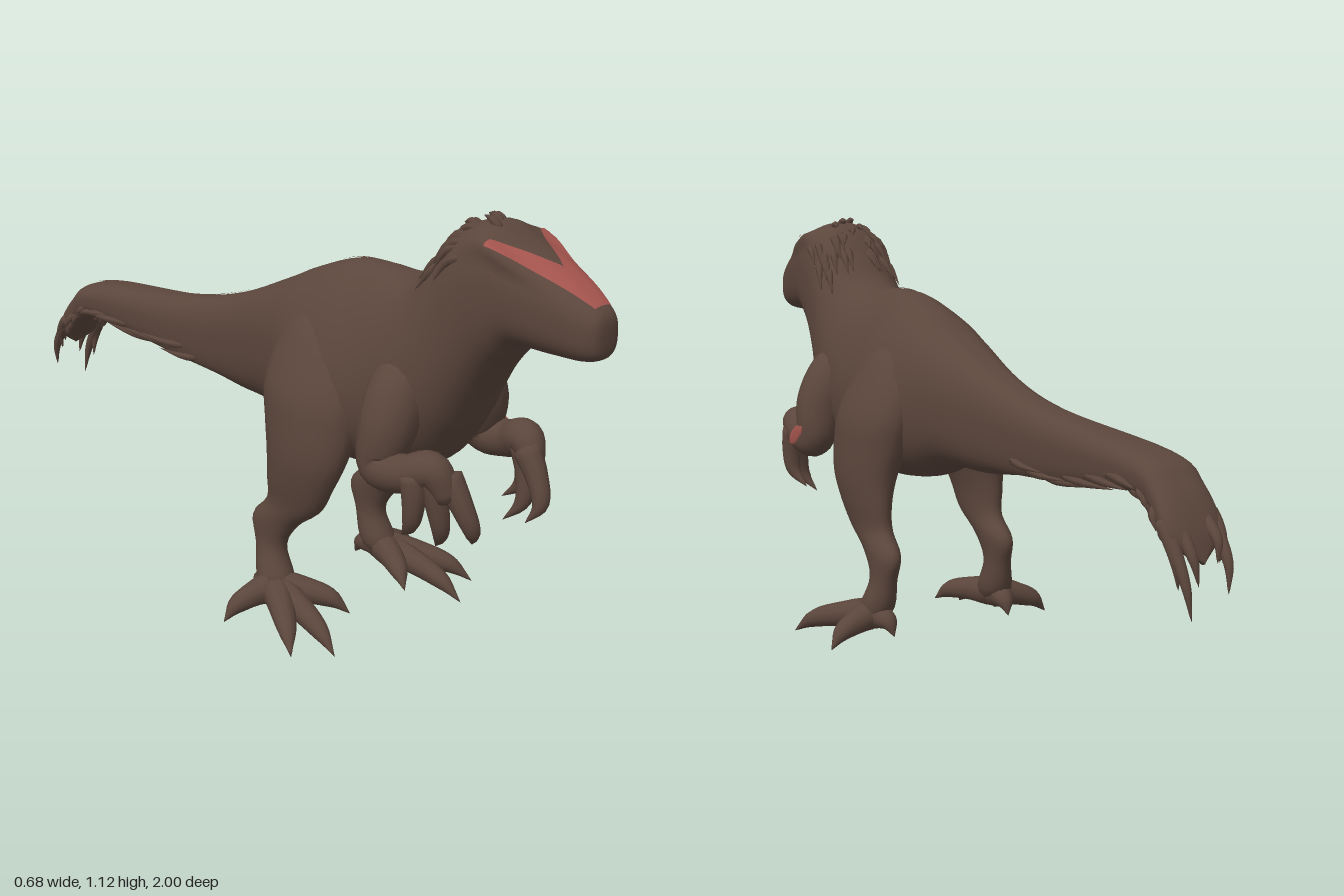
import * as THREE from 'three';
import { mergeVertices } from 'three/addons/utils/BufferGeometryUtils.js';

const hide = new THREE.MeshStandardMaterial({ color: 0x5b463c });
const mask = new THREE.MeshStandardMaterial({ color: 0xa3544d });
hide.name = 'brown hide';
mask.name = 'red markings';

// Body sections, snout to tail: topZ, topY, bottomZ, bottomY, half width
const BODY = [
  [1, 0.9, 1, 0.89, 0], [0.993, 0.945, 0.993, 0.85, 0.04], [0.95, 0.98, 0.955, 0.836, 0.063],
  [0.88, 1.02, 0.88, 0.836, 0.083], [0.78, 1.065, 0.79, 0.836, 0.105], [0.7, 1.105, 0.75, 0.8, 0.116],
  [0.62, 1.085, 0.705, 0.745, 0.125], [0.56, 1.02, 0.66, 0.67, 0.135], [0.5, 0.96, 0.61, 0.58, 0.15],
  [0.43, 0.94, 0.54, 0.495, 0.162], [0.34, 0.946, 0.42, 0.45, 0.165], [0.24, 0.94, 0.28, 0.44, 0.175],
  [0.12, 0.9, 0.13, 0.46, 0.155], [0.02, 0.855, 0, 0.51, 0.12], [-0.18, 0.775, -0.18, 0.52, 0.08],
  [-0.4, 0.725, -0.4, 0.535, 0.068], [-0.79, 0.692, -0.78, 0.59, 0.073], [-0.89, 0.64, -0.86, 0.57, 0.074],
  [-0.95, 0.55, -0.92, 0.51, 0.072], [-0.975, 0.475, -0.965, 0.47, 0],
];
// Leg sections, hip to sole: y, centre x, centre z, radius x, radius z
const LEG = [
  [0.88, 0.06, 0.2, 0, 0], [0.8, 0.08, 0.205, 0.062, 0.085], [0.72, 0.108, 0.215, 0.08, 0.13],
  [0.63, 0.138, 0.228, 0.087, 0.148], [0.55, 0.152, 0.238, 0.083, 0.142], [0.47, 0.168, 0.24, 0.07, 0.125],
  [0.4, 0.175, 0.225, 0.054, 0.108], [0.33, 0.173, 0.2, 0.042, 0.09], [0.27, 0.176, 0.135, 0.038, 0.076],
  [0.2, 0.18, 0.123, 0.034, 0.046], [0.11, 0.188, 0.15, 0.045, 0.05], [0.05, 0.2, 0.165, 0, 0],
];
const ARM = [
  [0.06, 0.79, 0.5, 0.03], [0.112, 0.71, 0.505, 0.07], [0.158, 0.62, 0.51, 0.072], [0.184, 0.52, 0.51, 0.053],
  [0.182, 0.52, 0.59, 0.046], [0.165, 0.54, 0.655, 0.045], [0.15, 0.465, 0.7, 0.025],
];
// Claw tips, x y z
const TOES = [[0.23, 0.003, 0.41], [0.33, 0.018, 0.36], [0.1, 0.05, 0.33], [0.34, 0.03, 0.12], [0.18, 0.055, 0.065]];
const FINGERS = [[0.095, 0.36, 0.72], [0.12, 0.335, 0.63], [0.18, 0.365, 0.575]];
const PLUMES = [[0.06, 0.36, -0.995], [0.035, 0.43, -0.985], [0.066, 0.42, -0.955]];

// Smooth interpolation between rows of numbers
function sample(rows, u) {
  const n = rows.length - 1, i = Math.min(Math.floor(u), n - 1), t = u - i;
  const r = k => rows[Math.max(0, Math.min(n, k))];
  return rows[0].map((_, c) => {
    const [a, b, d, e] = [r(i - 1)[c], r(i)[c], r(i + 1)[c], r(i + 2)[c]];
    return b + 0.5 * t * (d - a + t * (2 * a - 5 * b + 4 * d - e + t * (3 * (b - d) + e - a)));
  });
}

// Surface grid from fn(u, v), with u and v in 0..1; side -1 mirrors it
function grid(nu, nv, fn, side = 1) {
  const pos = [], idx = [];
  for (let i = 0; i <= nu; i++) for (let j = 0; j <= nv; j++) {
    const [x, y, z] = fn(i / nu, j / nv);
    pos.push(x * side, y, z);
    if (i === nu || j === nv) continue;
    const a = i * (nv + 1) + j, b = a + nv + 1;
    if (side > 0) idx.push(a, a + 1, b + 1, a, b + 1, b);
    else idx.push(a, b + 1, a + 1, a, b, b + 1);
  }
  let g = new THREE.BufferGeometry();
  g.setAttribute('position', new THREE.Float32BufferAttribute(pos, 3));
  g.setIndex(idx);
  g = mergeVertices(g, 1e-5);
  g.computeVertexNormals();
  return g;
}

// Point on the body at section u and angle a (0 is the back, PI the belly).
// The torso is round and heavy below, head and tail are boxier,
// the brows swell outwards and the tail is hollow underneath.
function skin(u, a, off = 0) {
  const [tz, ty, bz, by, w] = sample(BODY, u);
  const mz = (tz + bz) / 2, bell = Math.exp(-(((mz - 0.32) / 0.3) ** 2));
  const lift = off + 0.02 * Math.exp(-(((mz - 0.77) / 0.07) ** 2) - ((Math.cos(a) - 0.66) / 0.14) ** 2);
  const pw = v => Math.sign(v) * Math.abs(v) ** (0.75 + 0.25 * bell);
  const hollow = 0.45 * THREE.MathUtils.smoothstep(-mz, 0.1, 0.6) * THREE.MathUtils.smoothstep(-Math.cos(a), 0.6, 1);
  const c = pw(Math.cos(a)) * (0.5 + lift / Math.hypot(tz - bz, ty - by)) * (1 - hollow);
  const x = Math.max(0, w ? w + lift : 0) * pw(Math.sin(a)) * (1 - 0.25 * bell * bell * Math.cos(a));
  return [x, (ty + by) / 2 + (ty - by) * c, mz + (tz - bz) * c];
}

// Thin patch lying on the body between two angles
function patch(u0, u1, from, to, side, nu, off) {
  return grid(nu, 6, (s, v) => skin(u0 + (u1 - u0) * s, from(s) + (to(s) - from(s)) * v, off), side);
}

// Tapered tube through points [x, y, z, radius]
function limb(points, side, nu = 14, nv = 10) {
  const curve = new THREE.CatmullRomCurve3(points.map(p => new THREE.Vector3(...p)));
  return grid(nu, nv, (s, v) => {
    const p = curve.getPoint(s), t = curve.getTangent(s);
    const n = new THREE.Vector3(1, 0, 0.02).cross(t).normalize(), b = t.clone().cross(n);
    const r = s % 1 === 0 ? 0 : Math.max(0.001, sample(points, s * (points.length - 1))[3]);
    const a = v * Math.PI * 2;
    return p.addScaledVector(n, r * Math.cos(a)).addScaledVector(b, r * Math.sin(a)).toArray();
  }, side);
}

// Clawed digit from base to tip, arched by a bow [x, y, z]
function digit(base, tip, bow, r, side) {
  const at = (t, lift, rad) => [...base.map((c, k) => c + (tip[k] - c) * t + bow[k] * lift), rad];
  return limb([at(0, 0, r), at(0.4, 0.8, r * 0.78), at(0.75, 1, r * 0.55), at(1, 0, 0.002)], side);
}

// Small pointed feather rooted in the body and lying back along it
function feather(u, a, len, lift, side) {
  return limb([[...skin(u, a, -0.014), 0.01], [...skin(u + len * 0.4, a, lift * 0.4), 0.01],
    [...skin(u + len, a + 0.05, lift), 0.001]], side, 8, 6);
}

export function createModel() {
  const model = new THREE.Group();
  model.name = 'featheredDinosaur';
  const add = (name, geo, mat = hide, parent = model) => {
    const m = new THREE.Mesh(geo, mat);
    m.name = name;
    parent.add(m);
    return m;
  };
  let seed = 7;
  const rnd = () => (seed = (seed * 16807) % 2147483647) / 2147483647;

  add('body', grid(114, 56, (s, v) => skin(s * (BODY.length - 1), v * Math.PI * 2)));
  add('backRidge', patch(9.5, 16.8, () => -0.03, () => 0.03, 1, 50, 0.003));

  // Ragged crest over the skull and nape
  for (let i = 0; i < 7; i++) add('crestFeather', feather(4.8 + i * 0.25, (i % 3 - 1) * 0.2, 0.6, 0.014, 1));

  // Red mark on the left forearm
  const mark = add('forearmMark', new THREE.SphereGeometry(1, 12, 8), mask);
  mark.scale.set(0.004, 0.02, 0.05);
  mark.rotation.x = 0.6;
  mark.position.set(0.234, 0.53, 0.53);

  for (const side of [1, -1]) {
    const half = new THREE.Group();
    half.name = side > 0 ? 'leftSide' : 'rightSide';
    model.add(half);
    const put = (name, geo, mat) => add(name, geo, mat, half);

    // Face: red mask forking on to the brows, eye, and ear rim
    put('faceMask', patch(1.4, 4.6, s => Math.max(0, (s - 0.55) * 1.5), s => 0.4 + 0.48 * s, side, 32, 0.004), mask);
    put('eye', patch(4.15, 4.35, () => 1.2, () => 1.33, side, 4, 0.004));
    const earHalf = s => 0.06 * Math.sin(s * Math.PI);
    put('ear', patch(8.2, 8.9, s => 1.32 - 0.15 * s - earHalf(s), s => 1.32 - 0.15 * s + earHalf(s), side, 8, 0.005));

    // Ragged feathers on the neck and along the tail
    for (let i = 0; i < 14; i++) {
      put('neckFeather', feather(5.2 + rnd() * 1.6, 0.1 + rnd(), 1.1, 0.005, side));
      put('tailFeather', feather(14.6 + i * 0.22, 1.7 + rnd() * 0.7, 0.6, 0.008, side));
    }

    // Leg and foot
    put('leg', grid(48, 24, (s, v) => {
      const [y, cx, cz, rx, rz] = sample(LEG, s * (LEG.length - 1)), a = v * Math.PI * 2;
      return [cx + Math.max(0, rx) * Math.sin(a), y, cz - Math.max(0, rz) * Math.cos(a)];
    }, side));
    for (const tip of TOES) put('toe', digit([0.195, 0.1, 0.155], tip, [0, 0.022, 0], 0.043, side));

    // Arm, hand and clawed fingers
    put('arm', limb(ARM, side, 40, 16));
    FINGERS.forEach((tip, i) => put('finger',
      digit([0.14 + i * 0.025, 0.54, 0.67 - i * 0.025], tip, [0.015, 0, 0.035], 0.036, side)));

    // Drooping plumes at the end of the tail, shorter on the right
    const drop = side > 0 ? 0 : 0.045;
    for (const [x, y, z] of PLUMES)
      put('tailPlume', digit([x, 0.57, -0.9], [x - 0.01, y + drop, z], [0.005, 0.02, -0.012], 0.02, side));
  }
  return model;
}
